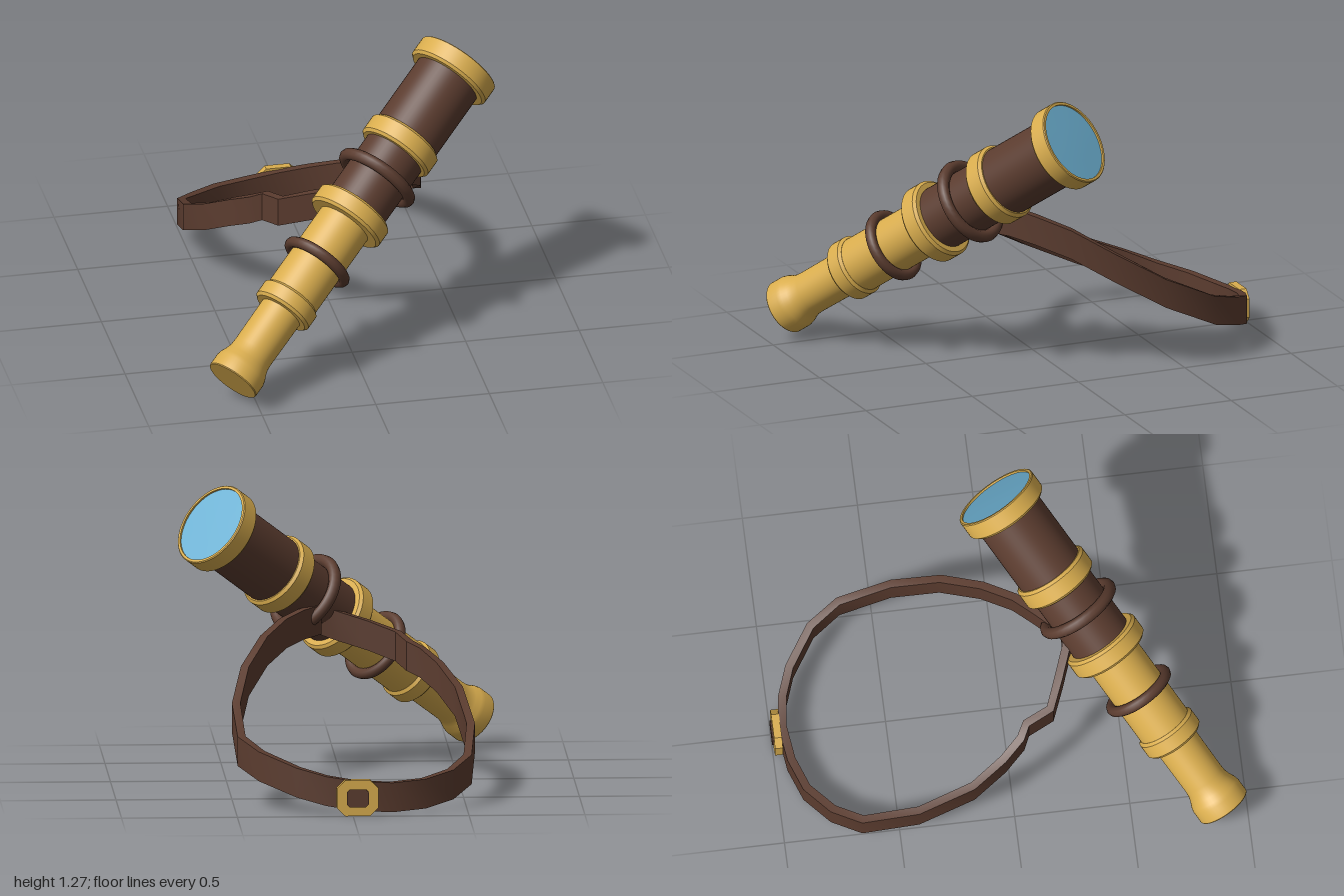
import * as THREE from 'three';
import { toCreasedNormals } from 'three/addons/utils/BufferGeometryUtils.js';

const mat = (name, color) => {
  const m = new THREE.MeshStandardMaterial({ color });
  m.name = name;
  return m;
};

export function createModel() {
  const brass = mat('brass', 0xd9ad4e);
  const leather = mat('leather', 0x5b3c2f);
  const glass = mat('glass', 0x6fb4d6);
  const model = new THREE.Group();
  model.name = 'spyglass';

  const add = (parent, name, geo, material) => {
    const mesh = new THREE.Mesh(geo, material);
    mesh.name = name;
    parent.add(mesh);
    return mesh;
  };

  // Telescope, turned around its own axis from eyepiece (0) to lens (length)
  const start = new THREE.Vector3(-0.609, 0.128, 0.895);
  const end = new THREE.Vector3(0.564, 1.116, 0.047);
  const axis = end.clone().sub(start);
  const L = axis.length();
  const scope = new THREE.Group();
  scope.name = 'telescope';
  scope.position.copy(start);
  scope.quaternion.setFromUnitVectors(new THREE.Vector3(0, 1, 0), axis.normalize());
  model.add(scope);

  const turned = (name, profile, material) => {
    const pts = profile.map(([r, y]) => new THREE.Vector2(r, y));
    return add(scope, name, toCreasedNormals(new THREE.LatheGeometry(pts, 48), 0.55), material);
  };
  const tube = (name, y0, y1, r, material) =>
    turned(name, [[0, y0], [r, y0], [r, y1], [0, y1]], material);
  const collar = (name, y0, y1, r, c = 0.012) =>
    turned(name, [[0, y0], [r - c, y0], [r, y0 + c], [r, y1 - c], [r - c, y1], [0, y1]], brass);

  turned('eyepiece', [[0, 0], [0.117, 0], [0.12, 0.004], [0.12, 0.06], [0.115, 0.08],
    [0.104, 0.105], [0.097, 0.13], [0.095, 0.16], [0.097, 0.4], [0, 0.4]], brass);
  collar('eyepieceCollar', 0.375, 0.46, 0.135);
  tube('drawTube', 0.45, 0.88, 0.122, brass);
  collar('drawTubeCollar', 0.865, 0.955, 0.176);
  tube('middleTube', 0.94, 1.27, 0.14, leather);
  collar('middleCollar', 1.25, 1.345, 0.17);
  tube('mainTube', 1.33, 1.68, 0.152, leather);

  // Lens housing with a thin lip around slightly sunken glass
  turned('lensRim', [[0.13, 1.663], [0.178, 1.663], [0.19, 1.675], [0.19, L - 0.004],
    [0.186, L], [0.175, L], [0.175, L - 0.012]], brass);
  turned('lens', [[0.176, L - 0.008], [0.09, L - 0.006], [0, L - 0.005]], glass);

  // Leather loops gripping the tubes
  for (const [name, y, r, t] of [['frontStrapLoop', 1.12, 0.165, 0.027], ['rearStrapLoop', 0.655, 0.14, 0.024]]) {
    const geo = new THREE.TorusGeometry(r, t, 10, 40);
    geo.rotateX(Math.PI / 2).translate(0, y, 0);
    add(scope, name, geo, leather);
  }

  // Carrying strap: upright rectangular band swept along a hanging loop
  const path = [
    [0.09, 0.665, 0.25], [0.17, 0.655, 0.17], [0.25, 0.63, 0.09], [0.34, 0.575, -0.04],
    [0.43, 0.47, -0.21], [0.478, 0.345, -0.42], [0.465, 0.235, -0.65], [0.385, 0.19, -0.78],
    [0.23, 0.135, -0.89], [0.11, 0.105, -0.935], [-0.02, 0.085, -0.95], [-0.17, 0.075, -0.93],
    [-0.31, 0.082, -0.88], [-0.43, 0.105, -0.78], [-0.51, 0.15, -0.66], [-0.535, 0.25, -0.42],
    [-0.495, 0.37, -0.18], [-0.42, 0.455, -0.04], [-0.35, 0.505, 0.045], [-0.295, 0.53, 0.075],
    [-0.25, 0.555, 0.185], [-0.13, 0.595, 0.235], [0, 0.63, 0.285], [0.09, 0.66, 0.29],
  ].map((p) => new THREE.Vector3(...p));
  const pos = [], idx = [];
  const up = new THREE.Vector3(0, 1, 0);
  const corners = [[1, 1], [-1, 1], [-1, -1], [1, -1]];
  const last = path.length - 1;
  path.forEach((p, i) => {
    const side = path[Math.min(i + 1, last)].clone().sub(path[Math.max(i - 1, 0)]).cross(up).normalize();
    for (const [s, h] of corners) pos.push(p.x + side.x * s * 0.018, p.y + h * 0.064, p.z + side.z * s * 0.018);
    if (i === last) return;
    for (let k = 0; k < 4; k++) {
      const a = i * 4 + k, b = i * 4 + (k + 1) % 4;
      idx.push(a, a + 4, b, b, a + 4, b + 4);
    }
  });
  const e = last * 4;
  idx.push(0, 1, 2, 0, 2, 3, e, e + 2, e + 1, e, e + 3, e + 2);
  const band = new THREE.BufferGeometry();
  band.setAttribute('position', new THREE.Float32BufferAttribute(pos, 3));
  band.setIndex(idx);
  add(model, 'strap', toCreasedNormals(band, 0.6), leather);

  // Octagonal buckle frame with a leather tab in its window
  const octagon = (Type, w, h, c) => {
    const s = new Type();
    [[w - c, h], [w, h - c], [w, c - h], [w - c, -h], [c - w, -h], [-w, c - h], [-w, h - c], [c - w, h]]
      .forEach(([x, y], i) => (i ? s.lineTo(x, y) : s.moveTo(x, y)));
    s.closePath();
    return s;
  };
  const buckle = new THREE.Group();
  buckle.name = 'buckle';
  buckle.position.set(-0.02, 0.08, -0.993);
  model.add(buckle);
  const frame = octagon(THREE.Shape, 0.09, 0.078, 0.036);
  frame.holes.push(octagon(THREE.Path, 0.046, 0.038, 0.012));
  add(buckle, 'buckleFrame', new THREE.ExtrudeGeometry(frame, { depth: 0.034, bevelEnabled: false }), brass);
  const tab = new THREE.ExtrudeGeometry(octagon(THREE.Shape, 0.047, 0.039, 0.012), { depth: 0.03, bevelEnabled: false });
  add(buckle, 'buckleTab', tab, leather).position.z = -0.007;

  return model;
}
